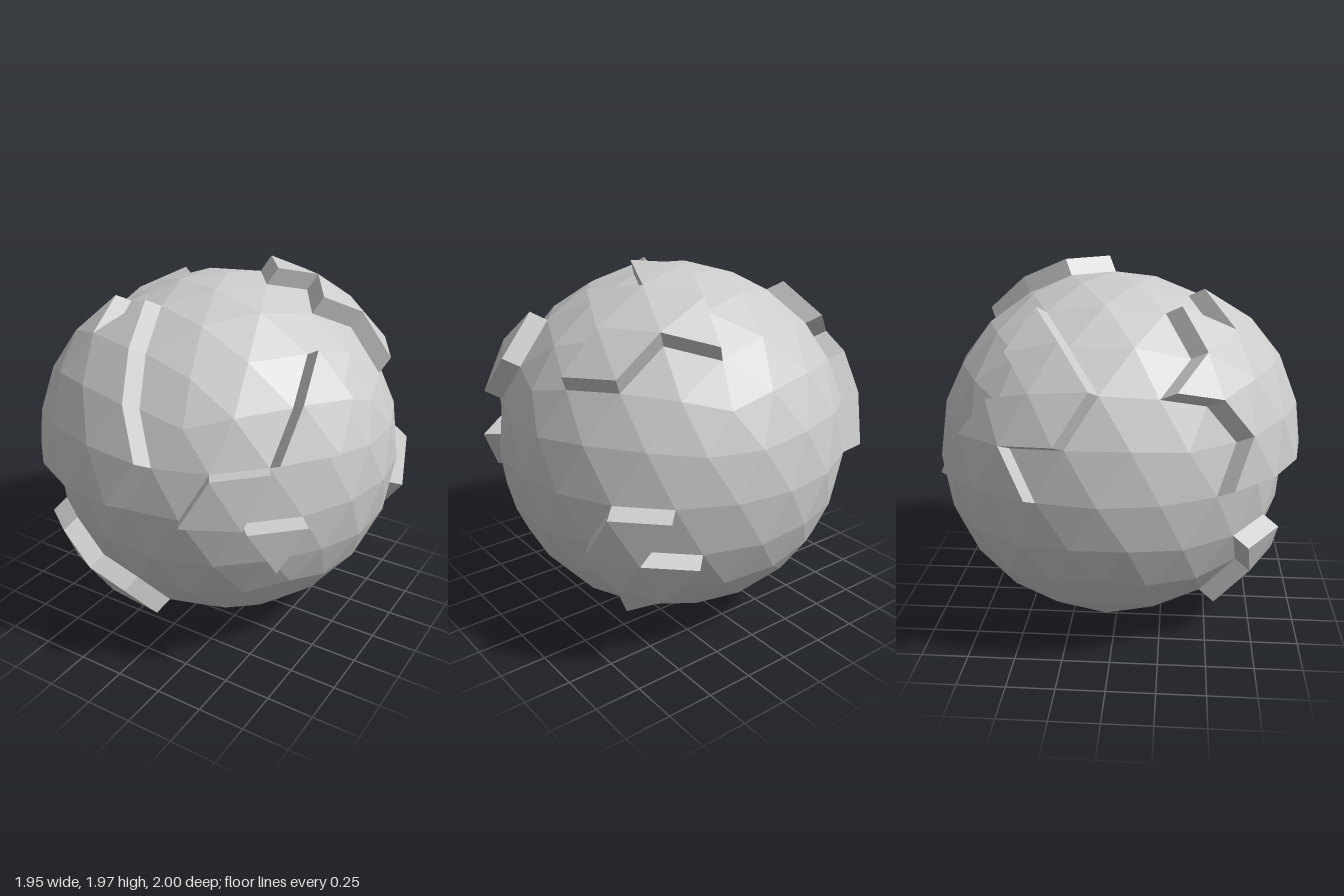
import * as THREE from 'three';

const RADIUS = 0.958, HEIGHT = 0.1;
const CENTRE = new THREE.Vector3(0.012, 0.967, -0.04);

// Land outlines as [azimuth, elevation] in degrees; azimuth 0 is +x, 90 is +z
const LANDS = {
  greatFrontLand: [[90, 0], [80.8, 14.5], [88, 30.1], [94.4, 46.3], [108, 63.4], [121.6, 46.3],
    [144, 58.3], [144, 41.1], [160, 30.1], [144, 26.6], [135.2, 14.5], [144, 0]],
  frontLeftUpperLand: [[22.4, 46.3], [16, 30.1], [26.3, 16], [45.7, 16], [36, 31.7]],
  frontLeftMiddleLand: [[72, 0], [54, 0], [45.7, 16], [63.2, 14.5]],
  frontLeftLowerLand: [[54, 0], [36, 0], [44.8, -14.5]],
  frontLowerLand: [[116.8, -14.5], [134.3, -16], [124, -30.1], [130.4, -46.3], [108, -41.1],
    [85.6, -46.3], [92, -30.1], [108, -26.6]],
  backRightLand: [[216, 58.3], [216, 41.1], [200, 30.1], [216, 26.6], [224.8, 14.5], [234, 0],
    [198, 0], [207.2, 14.5], [189.7, 16], [180, 31.7], [193.6, 46.3]],
  topLand: [[0, 58.3], [324, 63.4], [0, 75.5], [288, 75.5], [288, 41.1], [310.4, 46.3],
    [324, 31.7], [344, 30.1], [337.6, 46.3]],
  backLowerLand: [[324, 0], [306, 0], [315.2, -14.5], [297.7, -16], [308, -30.1], [324, -41.1],
    [324, -26.6], [332.8, -14.5]],
};

const direction = ([azimuth, elevation]) => {
  const a = THREE.MathUtils.degToRad(azimuth), e = THREE.MathUtils.degToRad(elevation);
  return new THREE.Vector3(Math.cos(e) * Math.cos(a), Math.sin(e), Math.cos(e) * Math.sin(a));
};

// Triangles of the globe, turned so that one vertex is at each pole
function globeFaces() {
  const geo = new THREE.IcosahedronGeometry(RADIUS, 3);
  geo.rotateZ(-Math.atan(2 / (1 + Math.sqrt(5))));
  const p = geo.attributes.position, faces = [];
  for (let i = 0; i < p.count; i += 3) {
    faces.push([0, 1, 2].map((k) => new THREE.Vector3().fromBufferAttribute(p, i + k)));
  }
  return faces;
}

// Test on the sphere: project from the globe's centre onto a plane facing the outline
function insideTest(outline) {
  const points = outline.map(direction);
  const axis = points.reduce((s, v) => s.add(v), new THREE.Vector3()).normalize();
  const u = new THREE.Vector3(0.31, 0.2, 0.93).cross(axis).normalize();
  const w = axis.clone().cross(u);
  const flat = (v) => [v.dot(u) / v.dot(axis), v.dot(w) / v.dot(axis)];
  const poly = points.map(flat);
  return (face) => {
    const c = face[0].clone().add(face[1]).add(face[2]).normalize();
    if (c.dot(axis) < 0.2) return false;
    const [x, y] = flat(c);
    let inside = false;
    poly.forEach(([x1, y1], i) => {
      const [x2, y2] = poly[(i + 1) % poly.length];
      if ((y1 > y) !== (y2 > y) && x < x1 + ((y - y1) * (x2 - x1)) / (y2 - y1)) inside = !inside;
    });
    return inside;
  };
}

// Lift a group of faces along their mean normal and wall in the open edges
function raise(faces) {
  const lift = new THREE.Vector3();
  for (const [a, b, c] of faces) lift.add(b.clone().sub(a).cross(c.clone().sub(a)));
  lift.setLength(HEIGHT);
  const up = (v) => v.clone().add(lift);
  const key = (v) => v.toArray().map((n) => Math.round(n * 1000)).join();
  const edges = new Map();
  for (const f of faces) {
    f.forEach((a, i) => {
      const b = f[(i + 1) % 3];
      edges.set(key(a) + '|' + key(b), [a, b]);
    });
  }
  const out = faces.map((f) => f.map(up));
  for (const [a, b] of edges.values()) {
    if (edges.has(key(b) + '|' + key(a))) continue;
    out.push([a, b, up(b)], [a, up(b), up(a)]);
  }
  return out;
}

function meshFrom(name, faces, material) {
  const geo = new THREE.BufferGeometry().setFromPoints(faces.flat());
  geo.computeVertexNormals();
  const mesh = new THREE.Mesh(geo, material);
  mesh.name = name;
  mesh.position.copy(CENTRE);
  return mesh;
}

export function createModel() {
  const group = new THREE.Group();
  group.name = 'planet';
  const material = new THREE.MeshStandardMaterial({ color: 0xcccccc, flatShading: true });

  // Raised lands take their faces from the globe; the rest is ocean
  let ocean = globeFaces();
  for (const [name, outline] of Object.entries(LANDS)) {
    const inside = insideTest(outline);
    const land = ocean.filter(inside);
    ocean = ocean.filter((f) => !inside(f));
    group.add(meshFrom(name, raise(land), material));
  }
  group.add(meshFrom('ocean', ocean, material));
  return group;
}
